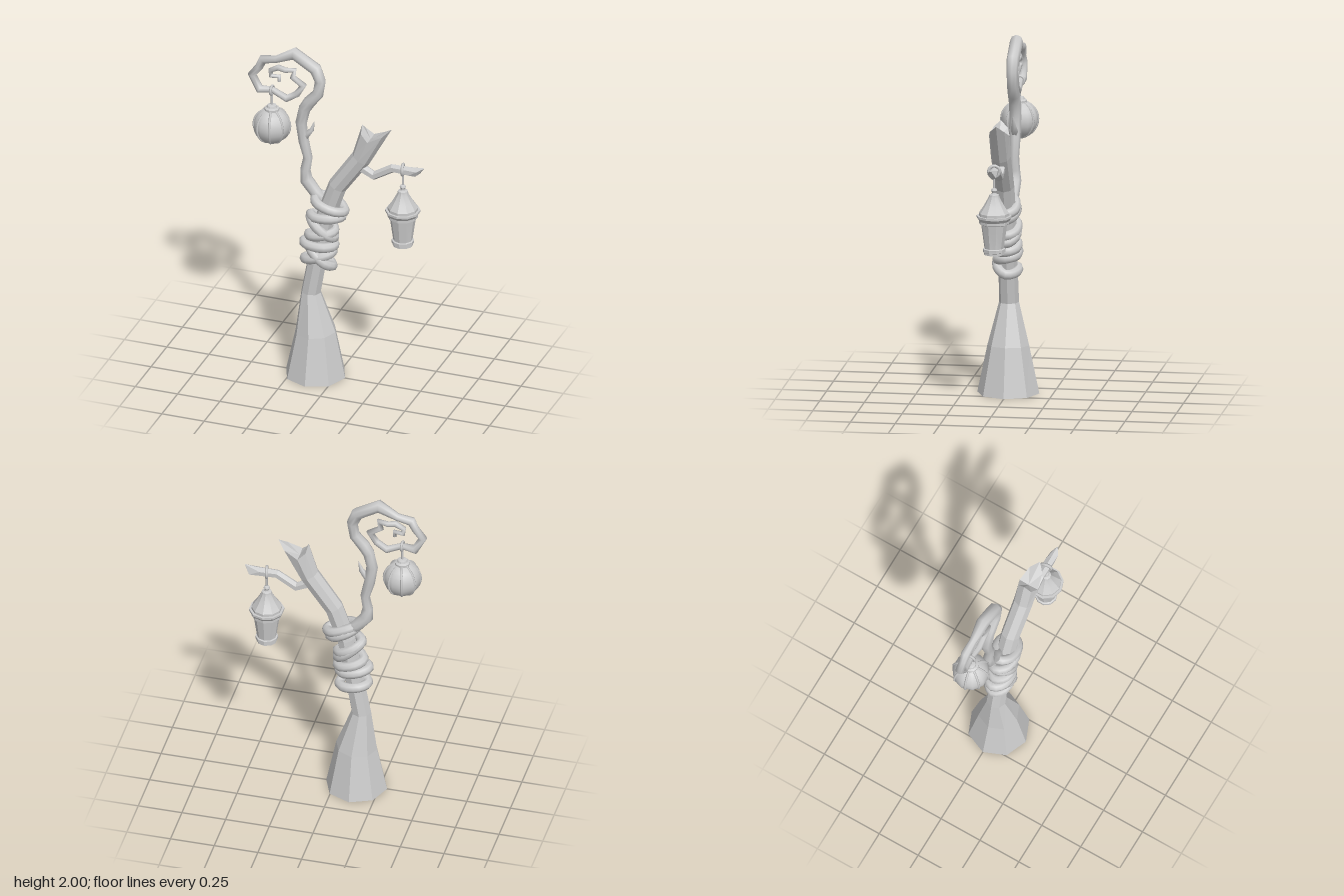
import * as THREE from 'three';
import { toCreasedNormals } from 'three/addons/utils/BufferGeometryUtils.js';

const smooth = new THREE.MeshStandardMaterial({ color: 0xcccccc, side: THREE.DoubleSide });
const flat = new THREE.MeshStandardMaterial({ color: 0xcccccc, side: THREE.DoubleSide, flatShading: true });
const V = (x, y, z = 0) => new THREE.Vector3(x, y, z);

function add(parent, name, geometry, material, x = 0, y = 0, z = 0) {
  const mesh = new THREE.Mesh(geometry, material);
  mesh.name = name;
  mesh.position.set(x, y, z);
  parent.add(mesh);
  return mesh;
}

// Capped tube through points with a radius per ring; edit() may move ring corners
function loft(points, radii, sides, firstNormal, edit, endCentre) {
  const pos = [], index = [], last = points.length - 1;
  let n = firstNormal.clone();
  points.forEach((p, i) => {
    const t = V(0, 0);
    if (i > 0) t.add(p.clone().sub(points[i - 1]).normalize());
    if (i < last) t.add(points[i + 1].clone().sub(p).normalize());
    t.normalize();
    n.addScaledVector(t, -n.dot(t)).normalize();
    const b = t.clone().cross(n);
    for (let j = 0; j < sides; j++) {
      const a = (j / sides) * Math.PI * 2;
      const v = p.clone().addScaledVector(n, Math.cos(a) * radii[i]).addScaledVector(b, Math.sin(a) * radii[i]);
      if (edit) edit(v, i, a);
      pos.push(v.x, v.y, v.z);
    }
  });
  for (let i = 0; i < last; i++) {
    for (let j = 0; j < sides; j++) {
      const k = (j + 1) % sides, a = i * sides, b = a + sides;
      index.push(a + j, a + k, b + k, a + j, b + k, b + j);
    }
  }
  const c = pos.length / 3, e = endCentre || points[last];
  pos.push(...points[0].toArray(), ...e.toArray());
  for (let j = 0; j < sides; j++) {
    const k = (j + 1) % sides;
    index.push(c, k, j, c + 1, last * sides + j, last * sides + k);
  }
  const g = new THREE.BufferGeometry();
  g.setAttribute('position', new THREE.Float32BufferAttribute(pos, 3));
  g.setIndex(index);
  g.computeVertexNormals();
  return g;
}

function lathe(profile, sides) {
  const g = new THREE.LatheGeometry(profile.map(([r, y]) => new THREE.Vector2(r, y)), sides);
  return toCreasedNormals(g, 0.5);
}

function addTrunk(root) {
  const path = [V(-0.12, 0), V(-0.12, 0.27), V(-0.147, 0.51), V(-0.11, 0.72), V(-0.06, 1.0),
    V(0.01, 1.2), V(0.15, 1.4), V(0.22, 1.56)];
  const radii = [0.174, 0.117, 0.056, 0.054, 0.054, 0.054, 0.056, 0.06];
  // Broken top: two raised points with a notch between them
  const split = (v, i, a) => {
    if (i !== 7) return;
    const c = Math.cos(a);
    v.set(0.205 + 0.087 * c + 0.037 * c * c, 1.53 + 0.078 * c * c, -0.058 * Math.sin(a));
  };
  add(root, 'trunk', loft(path, radii, 8, V(1, 0), split, V(0.205, 1.525)), flat);

  // Side branch ending in a splinter
  const branch = [V(0.11, 1.36), V(0.225, 1.302), V(0.335, 1.368), V(0.46, 1.366), V(0.518, 1.398)];
  const splinter = (v, i, a) => { if (i === 3) v.x += 0.03 * Math.sin(2 * a); };
  add(root, 'sideBranch', loft(branch, [0.03, 0.027, 0.025, 0.029, 0.003], 6, V(0, 1), splinter), flat);
}

function addVine(root) {
  // Front passes of the wrapping: left x, left y, right x, right y
  const passes = [[-0.16, 0.82, -0.02, 0.69], [-0.185, 0.715, -0.02, 0.78], [-0.19, 0.82, -0.01, 0.82],
    [-0.16, 0.87, -0.01, 0.91], [-0.15, 0.99, -0.01, 0.87], [-0.15, 0.995, 0.035, 1.01], [-0.125, 1.095, 0.05, 1.045]];
  const wrap = [];
  passes.forEach(([lx, ly, rx, ry], i) => {
    const [nx, ny] = passes[i + 1] || [-0.11, 1.11];
    const mix = THREE.MathUtils.lerp;
    wrap.push(V(lx, ly), V(mix(lx, rx, 0.25), mix(ly, ry, 0.25), 0.05), V(mix(lx, rx, 0.75), mix(ly, ry, 0.75), 0.05),
      V(rx, ry), V(mix(rx, nx, 0.25), mix(ry, ny, 0.25), -0.05), V(mix(rx, nx, 0.75), mix(ry, ny, 0.75), -0.05));
  });
  wrap.push(V(-0.12, 1.11, -0.025));
  const pts = new THREE.CatmullRomCurve3(wrap).getPoints(126);
  add(root, 'vineWrap', loft(pts, pts.map(() => 0.028), 8, V(0, 0, 1)), smooth);

  // Rising stem and angular curl: x, y, radius
  const curl = [[-0.08, 1.08, 0.03], [-0.13, 1.12, 0.035], [-0.185, 1.19, 0.038], [-0.19, 1.25, 0.03], [-0.175, 1.33, 0.027],
    [-0.2, 1.43, 0.031], [-0.215, 1.54, 0.033], [-0.195, 1.63, 0.034], [-0.165, 1.68, 0.035], [-0.115, 1.74, 0.032],
    [-0.102, 1.82, 0.032], [-0.13, 1.89, 0.036], [-0.255, 1.965, 0.037], [-0.36, 1.91, 0.022], [-0.44, 1.895, 0.027],
    [-0.463, 1.845, 0.022], [-0.505, 1.79, 0.024], [-0.46, 1.705, 0.026], [-0.385, 1.715, 0.018], [-0.3, 1.675, 0.022],
    [-0.24, 1.715, 0.019], [-0.203, 1.775, 0.021], [-0.265, 1.815, 0.018], [-0.255, 1.86, 0.017], [-0.305, 1.85, 0.016],
    [-0.35, 1.86, 0.018], [-0.395, 1.835, 0.016], [-0.393, 1.8, 0.014], [-0.345, 1.805, 0.014], [-0.345, 1.775, 0.011]];
  add(root, 'vineCurl', loft(curl.map(([x, y]) => V(x, y, -0.025)), curl.map((c) => c[2]), 8, V(0, 0, 1)), smooth);

  // Small thorn on the stem
  const thorn = [V(-0.19, 1.46, -0.025), V(-0.153, 1.505, -0.025), V(-0.137, 1.56, -0.025)];
  add(root, 'thorn', loft(thorn, [0.022, 0.014, 0.002], 6, V(0, 0, 1)), smooth);
}

function addLantern(root) {
  const g = new THREE.Group();
  g.name = 'taperedLantern';
  g.position.set(0.395, 0, 0);
  root.add(g);
  const loop = add(g, 'branchLoop', new THREE.TorusGeometry(0.031, 0.009, 6, 14), smooth, 0, 1.37, 0);
  loop.rotation.y = Math.PI / 2 + 0.2;
  add(g, 'hanger', new THREE.CylinderGeometry(0.006, 0.006, 0.09, 6), smooth, 0, 1.3, 0);
  const profile = [[0, 1.278], [0.014, 1.272], [0.018, 1.262], [0.012, 1.25], [0.014, 1.243], [0.028, 1.238], [0.03, 1.225],
    [0.058, 1.175], [0.085, 1.135], [0.085, 1.12], [0.098, 1.12], [0.098, 1.108], [0.084, 1.09], [0.084, 1.075],
    [0.073, 1.07], [0.054, 0.935], [0.063, 0.932], [0.063, 0.915], [0.057, 0.912], [0.057, 0.9], [0, 0.9]];
  add(g, 'lanternBody', lathe(profile.reverse(), 10), smooth);
}

function addGlobe(root) {
  const g = new THREE.Group();
  g.name = 'roundLantern';
  g.position.set(-0.387, 1.495, -0.022);
  root.add(g);
  add(g, 'globe', new THREE.SphereGeometry(0.105, 10, 12), smooth);
  // Meridian ribs
  for (let i = 0; i < 8; i++) {
    const rib = add(g, 'rib', new THREE.TorusGeometry(0.102, 0.007, 5, 14, Math.PI), smooth);
    rib.rotation.set(0, (i / 8) * Math.PI * 2 + 0.2, Math.PI / 2, 'YXZ');
  }
  const cap = [[0, 0.09], [0.042, 0.094], [0.042, 0.108], [0.03, 0.114], [0.026, 0.125], [0.01, 0.13], [0, 0.13]];
  add(g, 'topCap', lathe(cap, 10), smooth);
  add(g, 'bottomCap', new THREE.CylinderGeometry(0.03, 0.022, 0.012, 10), flat, 0, -0.103, 0);
  add(g, 'hanger', new THREE.CylinderGeometry(0.007, 0.007, 0.09, 6), smooth, 0, 0.16, 0);
  const loop = add(g, 'vineLoop', new THREE.TorusGeometry(0.025, 0.008, 6, 14), smooth, 0, 0.218, 0);
  loop.rotation.y = Math.PI / 2;
}

export function createModel() {
  const root = new THREE.Group();
  root.name = 'treeLampPost';
  addTrunk(root);
  addVine(root);
  addLantern(root);
  addGlobe(root);
  return root;
}
